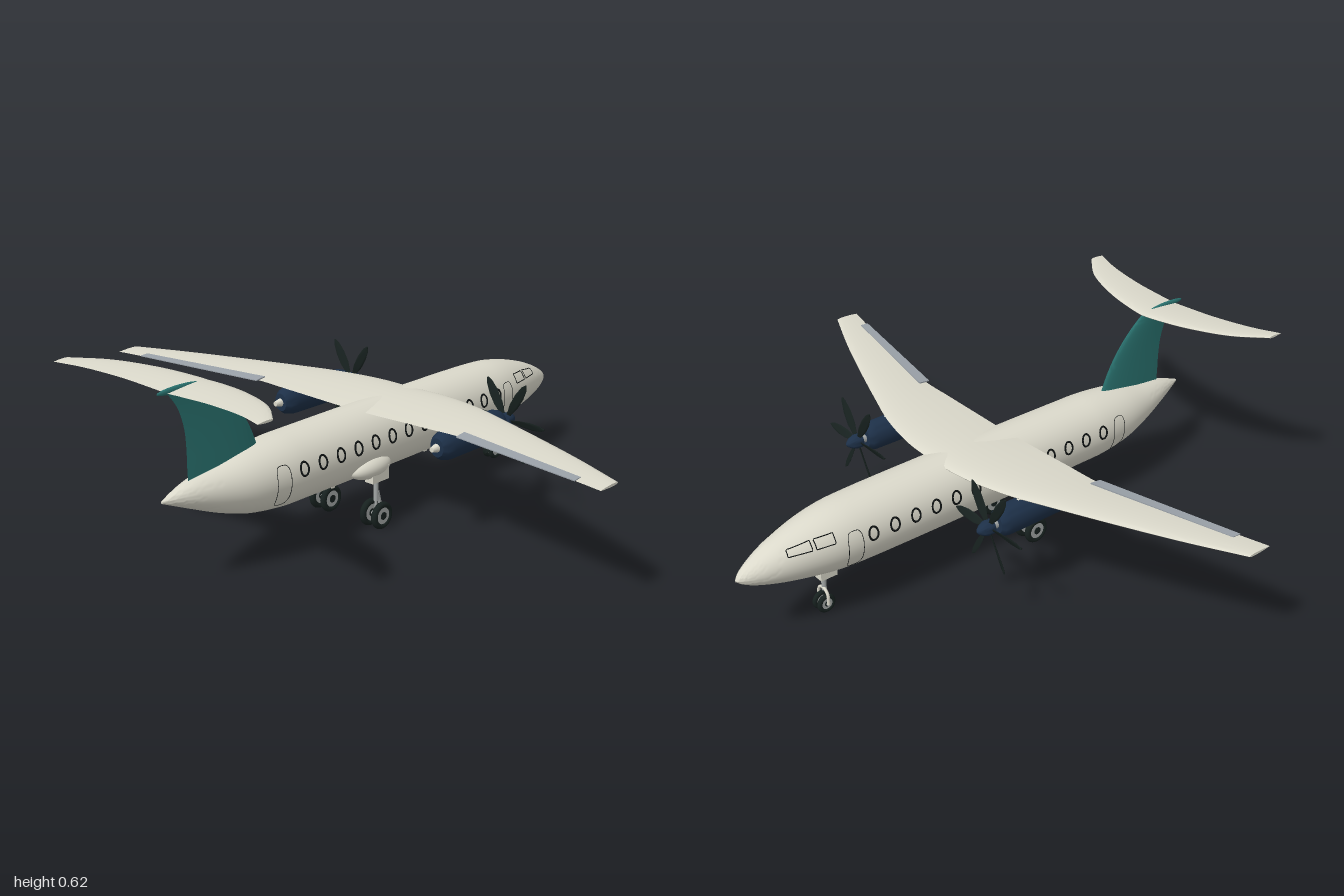
import * as THREE from 'three';
import { toCreasedNormals } from 'three/addons/utils/BufferGeometryUtils.js';

const V = (x, y, z) => new THREE.Vector3(x, y, z);
const mat = (name, color) => Object.assign(new THREE.MeshStandardMaterial({ color }), { name });
const cream = mat('cream', 0xdbd9cb), teal = mat('teal', 0x2a7370), navy = mat('navy', 0x1d3048),
  rubber = mat('dark rubber', 0x17211f), line = mat('black trim', 0x0e1212),
  flapGrey = mat('flap grey', 0x9aa1a8), metal = mat('metal grey', 0xa3a7a6);

// Skin a list of closed rings, cap both ends and wind the faces outward
function loft(rings, crease = 0.7) {
  const n = rings[0].length, pts = rings.flat(), idx = [];
  for (let i = 0; i < rings.length - 1; i++) for (let j = 0; j < n; j++) {
    const a = i * n + j, b = i * n + (j + 1) % n;
    idx.push(a, b, b + n, a, b + n, a + n);
  }
  [0, rings.length - 1].forEach((r, e) => {
    const c = pts.length;
    pts.push(rings[r].reduce((s, p) => s.add(p), V(0, 0, 0)).divideScalar(n));
    for (let j = 0; j < n; j++) {
      const a = r * n + j, b = r * n + (j + 1) % n;
      e ? idx.push(a, b, c) : idx.push(b, a, c);
    }
  });
  let vol = 0;
  const mid = pts.reduce((s, p) => s.add(p), V(0, 0, 0)).divideScalar(pts.length);
  for (let i = 0; i < idx.length; i += 3) {
    const [a, b, c] = [0, 1, 2].map(k => pts[idx[i + k]].clone().sub(mid));
    vol += a.dot(b.cross(c));
  }
  if (vol < 0) idx.reverse();
  const g = new THREE.BufferGeometry().setFromPoints(pts);
  g.setIndex(idx);
  return toCreasedNormals(g, crease);
}

// Airfoil: half thickness at chord fraction c, and a ring of [x, offset] pairs
const foilT = c => 2.6 * Math.sqrt(c) * (1 - c);
function foil(le, te, t, n = 28) {
  return Array.from({ length: n }, (_, i) => {
    const a = (i / n) * Math.PI * 2, c = (1 - Math.cos(a)) / 2;
    return [le + (te - le) * c, Math.sign(Math.sin(a)) * t * foilT(c)];
  });
}
const spline = (rows, n) => new THREE.CatmullRomCurve3(rows.map(r => V(...r))).getPoints(n);

// Body of revolution along x from [x, radius] pairs
const latheX = pts => toCreasedNormals(
  new THREE.LatheGeometry(pts.map(([x, r]) => new THREE.Vector2(r, x)), 28).rotateZ(-Math.PI / 2), 0.7);

// Fuselage stations: x, centre height, radius
const body = spline([[-0.9, 0.287, 0.004], [-0.85, 0.285, 0.024], [-0.8, 0.281, 0.042], [-0.7, 0.269, 0.072],
  [-0.6, 0.263, 0.097], [-0.48, 0.261, 0.111], [-0.38, 0.261, 0.113], [0.48, 0.261, 0.113], [0.6, 0.26, 0.107],
  [0.7, 0.257, 0.09], [0.8, 0.251, 0.064], [0.87, 0.245, 0.037], [0.905, 0.242, 0.017], [0.92, 0.24, 0.003]], 90);
function skin(x, y, s) {
  const i = Math.max(1, body.findIndex(p => p.x >= x)), a = body[i - 1], b = body[i];
  const p = a.clone().lerp(b, (x - a.x) / (b.x - a.x));
  return V(x, y, s * Math.sqrt(Math.max(0, p.z ** 2 - (y - p.y) ** 2)));
}

// Raised outline that follows the fuselage skin
function outline(pts, s, r) {
  const path = [];
  pts.forEach(([x, y], i) => {
    const [x2, y2] = pts[(i + 1) % pts.length];
    const k = Math.max(1, Math.ceil(Math.hypot(x2 - x, y2 - y) / 0.012));
    for (let j = 0; j < k; j++) path.push(skin(x + (x2 - x) * j / k, y + (y2 - y) * j / k, s));
  });
  return new THREE.TubeGeometry(new THREE.CatmullRomCurve3(path, true, 'catmullrom', 0.3), path.length * 2, r, 6, true);
}
const oval = (x, y, rx, ry, e = 1, n = 18) => Array.from({ length: n }, (_, i) => {
  const a = i / n * Math.PI * 2, p = v => Math.sign(v) * Math.abs(v) ** e;
  return [x + rx * p(Math.cos(a)), y + ry * p(Math.sin(a))];
});

const wingY = z => 0.362 + 0.024 * Math.abs(z);
const wingT = z => 0.016 - 0.012 * Math.abs(z);

export function createModel() {
  const root = new THREE.Group();
  root.name = 'turbopropAirliner';
  const add = (name, geo, m, x = 0, y = 0, z = 0, parent = root) => {
    const o = new THREE.Mesh(geo, m);
    o.name = name;
    o.position.set(x, y, z);
    parent.add(o);
    return o;
  };
  const group = (name, x, y, z) => {
    const g = new THREE.Group();
    g.name = name;
    g.position.set(x, y, z);
    root.add(g);
    return g;
  };

  add('fuselage', loft(body.map(p => Array.from({ length: 40 }, (_, i) => {
    const a = i / 40 * Math.PI * 2;
    return V(p.x, p.y + p.z * Math.sin(a), p.z * Math.cos(a));
  }))), cream);

  // Wing: z, leading edge, trailing edge, mirrored across the span
  const half = [[0.13, 0.183, -0.11], [0.29, 0.15, -0.11], [0.445, 0.093, -0.112], [0.63, 0.02, -0.15],
    [0.82, -0.06, -0.19], [1, -0.145, -0.23]];
  const mirror = (h, c) => [...h.map(([z, ...r]) => [-z, ...r]).reverse(), c, ...h];
  add('wing', loft(spline(mirror(half, [0, 0.186, -0.11]), 60).map(p =>
    foil(p.y, p.z, wingT(p.x)).map(([x, t]) => V(x, wingY(p.x) + t, p.x)))), cream);

  // Tailplane and fin
  const tail = [[0.07, -0.713, -0.866], [0.18, -0.735, -0.871], [0.32, -0.79, -0.893], [0.42, -0.87, -0.925]];
  add('tailplane', loft(spline(mirror(tail, [0, -0.707, -0.865]), 40).map(p =>
    foil(p.y, p.z, 0.009 - 0.013 * Math.abs(p.x)).map(([x, t]) => V(x, 0.598 + 0.05 * Math.abs(p.x) + t, p.x)))), cream);
  const fin = [[0.29, -0.5, -0.8], [0.36, -0.53, -0.802], [0.42, -0.555, -0.802], [0.48, -0.59, -0.807],
    [0.54, -0.64, -0.825], [0.58, -0.685, -0.85], [0.602, -0.715, -0.87]];
  add('fin', loft(spline(fin, 30).map(p =>
    foil(p.y, p.z, 0.014 - 0.022 * (p.x - 0.29)).map(([x, t]) => V(x, p.x, t)))), teal);
  add('finCap', new THREE.SphereGeometry(1, 24, 12).scale(0.078, 0.011, 0.007), teal, -0.822, 0.602, 0);

  // Propeller blade: radius, chord, with twist falling toward the tip
  const blade = loft([[0.012, 0.012], [0.03, 0.016], [0.06, 0.028], [0.1, 0.03], [0.135, 0.02], [0.15, 0.005]].map(([r, c]) => {
    const tw = 0.75 - r * 3.5;
    return Array.from({ length: 12 }, (_, i) => {
      const a = i / 12 * Math.PI * 2, u = c / 2 * Math.cos(a), w = 0.0025 * Math.sin(a);
      return V(u * Math.sin(tw) + w * Math.cos(tw), r, u * Math.cos(tw) - w * Math.sin(tw));
    });
  }));

  const tyre = (R, w) => new THREE.TorusGeometry(R - w / 2, w / 2, 14, 32);
  const axleCyl = (r, l) => new THREE.CylinderGeometry(r, r, l, 24).rotateX(Math.PI / 2);
  function wheel(g, R, w, z) {
    add('tyre', tyre(R, w), rubber, 0, R, z, g);
    add('rim', axleCyl(R - w * 0.8, w * 0.7), metal, 0, R, z, g);
    add('hubCap', axleCyl(R * 0.28, w * 0.9), rubber, 0, R, z, g);
  }
  const rod = (r, l) => new THREE.CylinderGeometry(r, r, l, 14);

  for (const s of [1, -1]) {
    // Flap plate on the outer trailing edge
    add('flap', loft(Array.from({ length: 9 }, (_, i) => {
      const k = i / 8, z = 0.423 + 0.482 * k, xl = -0.082 - 0.101 * k, xt = -0.122 - 0.091 * k, y = wingY(z);
      const top = wingT(z) * foilT(0.78) + 0.002;
      return [V(xl, y + top, s * z), V(xt, y + 0.003, s * z), V(xt, y, s * z), V(xl, y, s * z)];
    }), 0.4), flapGrey);

    // Engine with exhaust, shaft, spinner and six blades
    const e = group('engine', 0, 0.312, s * 0.333);
    add('nacelle', latheX([[-0.102, 0], [-0.1, 0.03], [-0.085, 0.042], [-0.055, 0.05], [0.1, 0.051], [0.185, 0.05],
      [0.205, 0.044], [0.216, 0.033], [0.217, 0]]).scale(1, 1, 0.85), navy, 0, 0, 0, e);
    add('exhaust', latheX([[-0.127, 0], [-0.125, 0.008], [-0.09, 0.016]]), cream, 0, 0, 0, e);
    add('intakeFairing', new THREE.SphereGeometry(1, 20, 12).scale(0.06, 0.012, 0.012), cream, 0.08, 0.046, 0, e);
    add('shaft', rod(0.014, 0.04).rotateZ(Math.PI / 2), metal, 0.225, 0, 0, e);
    add('spinner', latheX([[0.234, 0], [0.235, 0.024], [0.255, 0.024], [0.272, 0.018], [0.285, 0.009], [0.291, 0]]), navy, 0, 0, 0, e);
    for (let i = 0; i < 6; i++)
      add('propellerBlade', blade, rubber, 0.246, 0, 0, e).rotation.x = Math.PI / 2 + i * Math.PI / 3;

    // Main gear pod, door box, strut and twin wheels
    add('gearPod', new THREE.SphereGeometry(1, 32, 20).scale(0.088, 0.036, 0.042), cream, -0.132, 0.2, s * 0.09);
    add('gearDoorBox', new THREE.BoxGeometry(0.075, 0.045, 0.034), cream, -0.118, 0.178, s * 0.108);
    const m = group('mainGear', -0.125, 0, s * 0.11);
    add('strut', rod(0.008, 0.08), metal, 0, 0.13, 0, m);
    add('piston', rod(0.0055, 0.07), metal, 0, 0.075, 0, m);
    add('torqueLink', new THREE.BoxGeometry(0.006, 0.05, 0.01), metal, 0.014, 0.095, 0, m).rotation.z = 0.25;
    add('axle', axleCyl(0.007, 0.05), metal, 0, 0.045, 0, m);
    for (const z of [-0.024, 0.024]) wheel(m, 0.045, 0.021, z);

    // Cabin windows, doors and cockpit panes
    for (let i = 0; i < 13; i++)
      add('cabinWindow', outline(oval(-0.442 + i * 0.0788, 0.285, 0.016, 0.021), s, 0.0033), line);
    for (const x of [-0.522, 0.567])
      add('doorOutline', outline(oval(x, 0.25, 0.026, 0.064, 0.5, 28), s, 0.001), line);
    for (const pane of [[[0.63, 0.326], [0.69, 0.322], [0.69, 0.294], [0.63, 0.296]],
      [[0.702, 0.321], [0.772, 0.309], [0.775, 0.291], [0.702, 0.294]]])
      add('cockpitWindow', outline(pane, s, 0.0016), line);
  }

  // Nose gear
  add('noseGearBox', new THREE.BoxGeometry(0.06, 0.045, 0.034), cream, 0.61, 0.143, 0);
  const n = group('noseGear', 0.625, 0, 0);
  add('strut', rod(0.008, 0.06), metal, -0.004, 0.105, 0, n);
  add('fork', new THREE.TorusGeometry(0.026, 0.005, 10, 20, Math.PI).rotateY(Math.PI / 2), cream, 0, 0.058, 0, n);
  for (const z of [-0.026, 0.026]) add('forkLeg', rod(0.005, 0.026), cream, 0, 0.046, z, n);
  add('axle', axleCyl(0.005, 0.056), metal, 0, 0.032, 0, n);
  for (const z of [-0.013, 0.013]) wheel(n, 0.032, 0.016, z);

  // Belly antennas
  for (const x of [-0.205, 0.25])
    add('antenna', new THREE.BoxGeometry(0.014, 0.03, 0.004), cream, x, 0.141, 0);

  return root;
}
